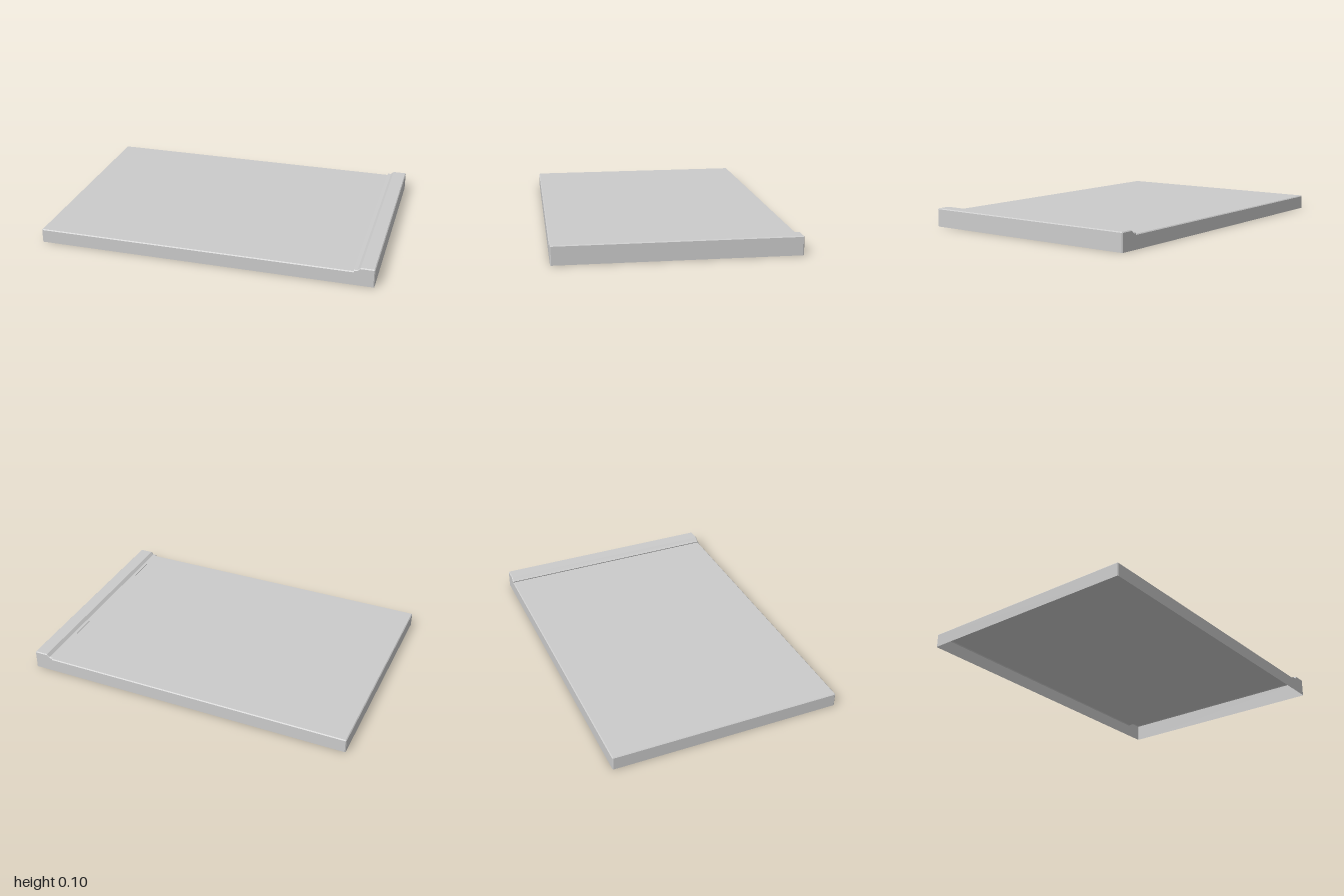
import * as THREE from 'three';

const W = 0.958, D = 0.664; // half width and half depth
const C = 0.005;            // edge chamfer

// Cross-section of the lid along x: wall, flat panel, stepped ridge, wall
const profile = [
  [-W, 0], [-W, 0.08 - C], [-W + C, 0.08],
  [0.852, 0.08], [0.845, 0.089], [0.864, 0.09], [0.88, 0.105],
  [W - C, 0.105], [W, 0.105 - C], [W, 0],
];

// Stations along z: end walls, chamfers and the long span
const stations = [
  { z: -D, end: true, floor: true }, { z: -D, end: true }, { z: -D + C },
  { z: D - C }, { z: D, end: true }, { z: D, end: true, floor: true },
];

function lidGeometry() {
  const positions = [], index = [];
  const n = profile.length;
  for (const { z, end, floor } of stations) {
    for (const [x, y] of profile) {
      const px = end ? THREE.MathUtils.clamp(x, -W + C, W - C) : x;
      const py = floor ? 0 : end ? Math.max(0, y - C) : y;
      positions.push(px, py, z);
    }
  }
  for (let j = 0; j < stations.length - 1; j++) {
    for (let i = 0; i < n - 1; i++) {
      const a = j * n + i, b = a + 1, c = a + n, d = c + 1;
      index.push(a, c, b, b, c, d);
    }
  }
  const geometry = new THREE.BufferGeometry();
  geometry.setAttribute('position', new THREE.Float32BufferAttribute(positions, 3));
  geometry.setIndex(index);
  const flat = geometry.toNonIndexed();
  flat.computeVertexNormals();
  return flat;
}

export function createModel() {
  const group = new THREE.Group();
  group.name = 'ridgedLid';

  // Thin shell, open underneath, turned slightly about the vertical axis
  const lid = new THREE.Mesh(
    lidGeometry(),
    new THREE.MeshStandardMaterial({ color: 0xcccccc, flatShading: true, side: THREE.DoubleSide }),
  );
  lid.name = 'lidShell';
  lid.rotation.y = -THREE.MathUtils.degToRad(3.63);
  group.add(lid);
  return group;
}
